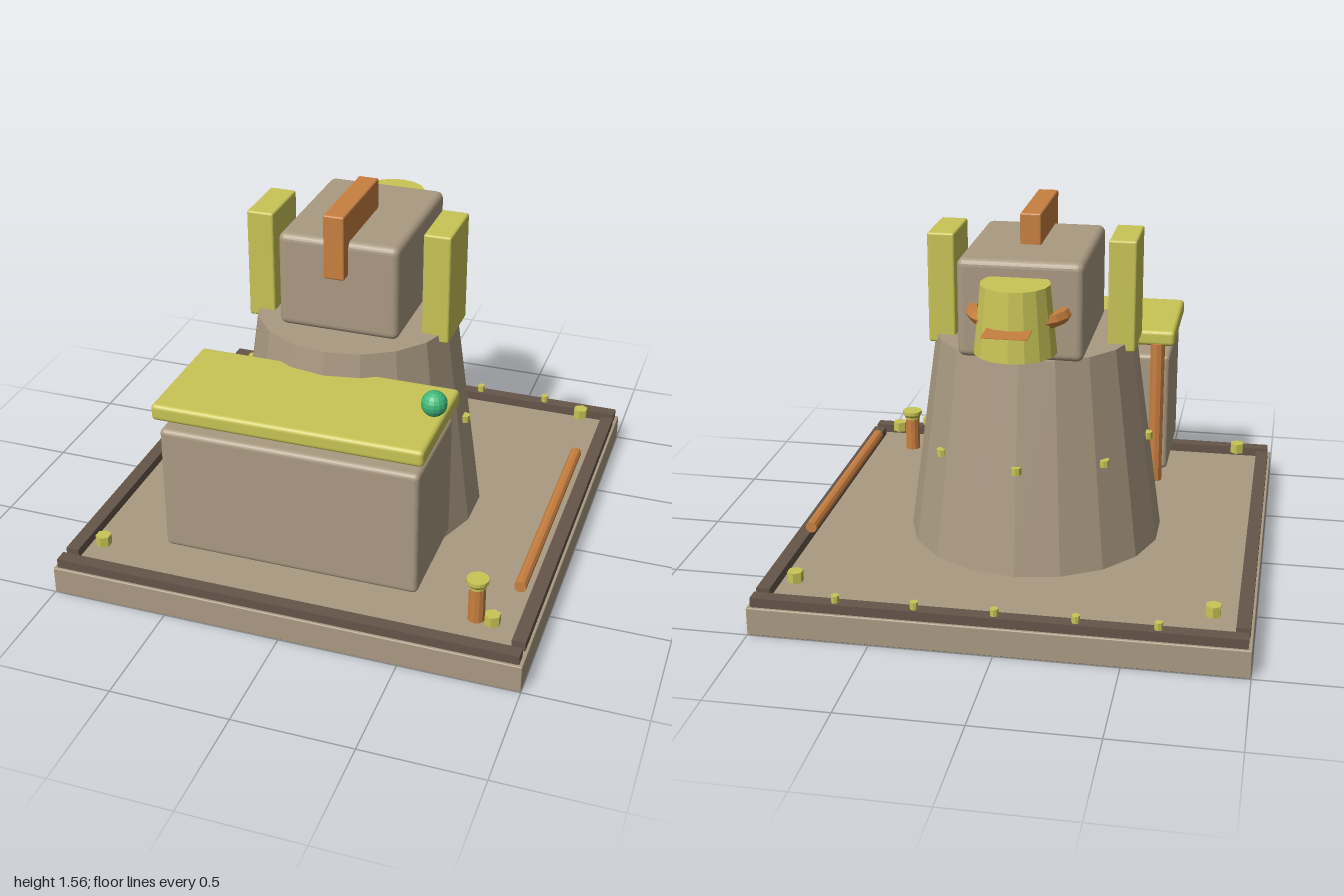
import * as THREE from 'three';
import { RoundedBoxGeometry } from 'three/addons/geometries/RoundedBoxGeometry.js';

const paint = (name, color, flatShading = false) => {
  const m = new THREE.MeshStandardMaterial({ color });
  m.name = name;
  m.flatShading = flatShading;
  return m;
};

export function createModel() {
  const model = new THREE.Group();
  model.name = 'plinthKiosk';
  const stone = paint('stone', 0xaa9a82, true);
  const yellow = paint('yellow', 0xc8c455, true);
  const copper = paint('copper', 0xc8803f, true);
  const brown = paint('darkBrown', 0x66554a, true);
  const green = paint('green', 0x3fb878, true);

  const add = (name, geometry, material, x, y, z) => {
    const mesh = new THREE.Mesh(geometry, material);
    mesh.name = name;
    mesh.position.set(x, y, z);
    model.add(mesh);
    return mesh;
  };
  // Boxes are given by their limits; r rounds the edges
  const box = (name, mat, [x0, x1], [y0, y1], [z0, z1], r = 0) => {
    const w = x1 - x0, h = y1 - y0, d = z1 - z0;
    const g = r ? new RoundedBoxGeometry(w, h, d, 3, r) : new THREE.BoxGeometry(w, h, d);
    return add(name, g, mat, (x0 + x1) / 2, (y0 + y1) / 2, (z0 + z1) / 2);
  };
  // Upright cylinders and cones are given by bottom and top heights
  const post = (name, mat, rBottom, rTop, y0, y1, x, z, sides) =>
    add(name, new THREE.CylinderGeometry(rTop, rBottom, y1 - y0, sides), mat, x, (y0 + y1) / 2, z);

  // Base slab with raised trim
  box('baseSlab', stone, [-1, 1], [0, 0.12], [-1, 1], 0.005);
  for (const s of [-1, 1]) {
    const edge = [s * 0.96 - 0.028, s * 0.96 + 0.028];
    box('endTrim', brown, [-0.985, 0.985], [0.12, 0.16], edge);
    box('sideTrim', brown, edge, [0.12, 0.16], [-0.9, 0.9]);
    for (const t of [-1, 1]) post('cornerBolt', yellow, 0.033, 0.033, 0.175, 0.22, s * 0.84, t * 0.84, 6);
  }
  for (let i = -2; i <= 2; i++) post('trimStud', yellow, 0.017, 0.017, 0.16, 0.19, i * 0.32, -0.96, 8);

  // Tapered tower with a ring of studs
  post('tower', stone, 0.55, 0.425, 0.12, 1.02, 0, 0, 18);
  for (let i = 0; i < 8; i++) {
    const a = (i * Math.PI) / 4;
    post('towerStud', yellow, 0.022, 0.022, 0.555, 0.585, 0.485 * Math.sin(a), 0.485 * Math.cos(a), 8);
  }

  // Front cabinet, its counter top and supports
  box('cabinet', stone, [-0.54, 0.535], [0.25, 0.8], [0.385, 0.86], 0.022);
  box('counterTop', yellow, [-0.56, 0.555], [0.85, 0.92], [0.365, 0.88], 0.018);
  for (const x of [-0.32, 0, 0.32]) {
    post('counterSupport', stone, 0.1, 0.095, 0.79, 0.84, x, 0.625, 14);
    post('supportPad', copper, 0.07, 0.07, 0.83, 0.86, x, 0.625, 14);
  }
  post('counterPost', copper, 0.033, 0.033, 0.2, 0.86, -0.485, 0.385, 10);
  add('counterBall', new THREE.SphereGeometry(0.052, 14, 10), green, 0.52, 0.985, 0.62);

  // Head block with side panels and crest
  box('head', stone, [-0.26, 0.255], [1.02, 1.43], [-0.41, 0.25], 0.03);
  for (const s of [-1, 1])
    box('sidePanel', yellow, [s * 0.38 - 0.058, s * 0.38 + 0.058], [0.985, 1.46], [-0.137, 0.137], 0.01);
  box('crest', copper, [-0.044, 0.044], [1.285, 1.56], [-0.143, 0.303], 0.008);

  // Rear cup with ring and flat lip
  post('rearCup', yellow, 0.168, 0.14, 1.085, 1.365, 0, -0.485, 16);
  add('cupRing', new THREE.TorusGeometry(0.187, 0.03, 6, 20), copper, 0, 1.225, -0.39).rotation.x = Math.PI / 2;
  box('rearLip', copper, [-0.09, 0.09], [1.213, 1.216], [-0.735, -0.5]);

  // Side rail lying along the base
  add('sideRail', new THREE.CylinderGeometry(0.025, 0.025, 1.08, 10), copper, 0.9, 0.222, 0.1).rotation.x = Math.PI / 2;

  // Small bollard with a flared cap
  post('bollard', copper, 0.035, 0.035, 0.12, 0.276, 0.755, 0.76, 12);
  const cap = [[0, 0], [0.036, 0], [0.036, 0.01], [0.046, 0.024], [0.046, 0.04], [0, 0.04]];
  add('bollardCap', new THREE.LatheGeometry(cap.map(([r, y]) => new THREE.Vector2(r, y)), 14), yellow, 0.755, 0.275, 0.76);

  return model;
}
